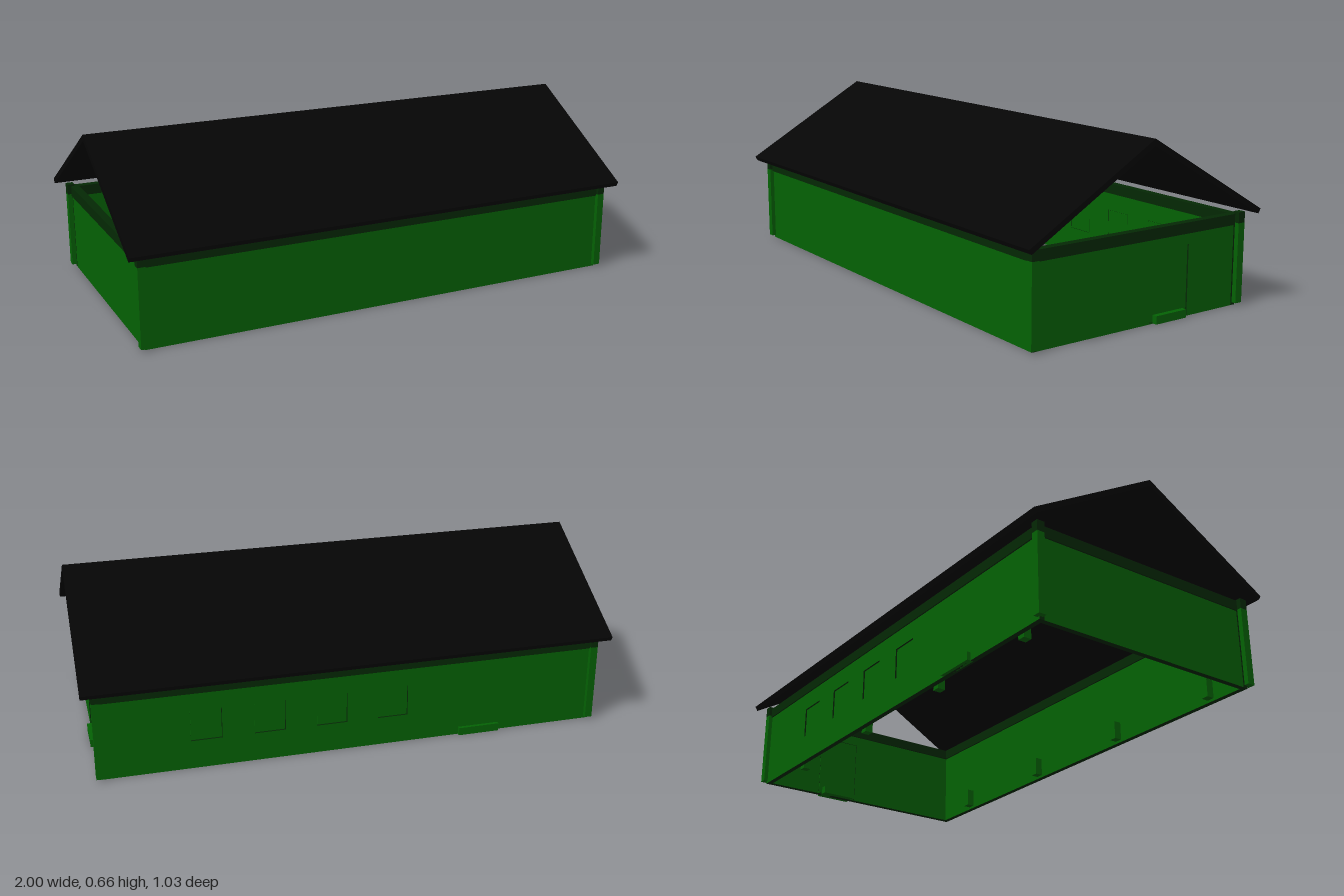
import * as THREE from 'three';

const green = new THREE.MeshStandardMaterial({ color: 0x046204 });
green.name = 'wall green';
const darkGreen = new THREE.MeshStandardMaterial({ color: 0x042804 });
darkGreen.name = 'trim dark green';
const black = new THREE.MeshStandardMaterial({ color: 0x050505 });
black.name = 'roof black';

const T = 0.02; // wall thickness
const X = 0.945, Z = 0.462; // outer faces of the walls
const TOP = 0.305, TRIM = 0.34;

function box(parent, name, mat, x0, x1, y0, y1, z0, z1) {
  const mesh = new THREE.Mesh(new THREE.BoxGeometry(x1 - x0, y1 - y0, z1 - z0), mat);
  mesh.position.set((x0 + x1) / 2, (y0 + y1) / 2, (z0 + z1) / 2);
  mesh.name = name;
  parent.add(mesh);
  return mesh;
}

// A wall facing +z with its outer face at z = 0; openings are [left, right, bottom, top]
function wall(name, halfLength, openings = []) {
  const group = new THREE.Group();
  group.name = name;
  const shape = new THREE.Shape();
  shape.moveTo(-halfLength, 0);
  shape.lineTo(halfLength, 0);
  shape.lineTo(halfLength, TOP);
  shape.lineTo(-halfLength, TOP);
  shape.closePath();
  for (const [l, r, b, t] of openings) {
    const hole = new THREE.Path();
    hole.moveTo(l, b);
    hole.lineTo(l, t);
    hole.lineTo(r, t);
    hole.lineTo(r, b);
    hole.closePath();
    shape.holes.push(hole);
    // recessed panel with a fine shadow gap
    const g = 0.0015;
    box(group, 'recessedPanel', green, l + g, r - g, b + g, t - g, -T, -0.005);
    box(group, 'panelBacking', darkGreen, l, r, b, t, -T + 0.002, -0.01);
  }
  const geo = new THREE.ExtrudeGeometry(shape, { depth: T, bevelEnabled: false });
  geo.translate(0, 0, -T);
  const panel = new THREE.Mesh(geo, [green, darkGreen]);
  panel.name = 'wallPanel';
  group.add(panel);
  // dark beam along the top
  box(group, 'topBeam', darkGreen, -halfLength, halfLength, 0.3, TRIM, -T - 0.006, 0.005);
  return group;
}

export function createModel() {
  const model = new THREE.Group();
  model.name = 'barn';

  // Long walls, four windows in the back one
  const front = wall('frontWall', X);
  front.position.z = Z;
  const windows = [];
  for (let i = 0; i < 4; i++) {
    const c = -0.56 + i * 0.235;
    windows.push([c - 0.058, c + 0.058, 0.11, 0.23]);
  }
  const back = wall('backWall', X, windows);
  back.rotation.y = Math.PI;
  back.position.z = -Z;

  // End walls, a door in the left one
  const left = wall('leftWall', Z - T, [[0.045, 0.222, 0.003, 0.26]]);
  left.rotation.y = Math.PI / 2;
  left.position.x = X;
  const right = wall('rightWall', Z - T);
  right.rotation.y = -Math.PI / 2;
  right.position.x = -X;
  model.add(front, back, left, right);

  // Low steps at the doorways
  box(model, 'doorStep', green, 0.9, 0.96, 0, 0.03, -0.205, -0.065);
  box(model, 'backStep', green, -0.57, -0.41, 0, 0.03, -0.475, -0.45);

  // Corner posts with dark caps
  for (const sx of [-1, 1]) {
    for (const sz of [-1, 1]) {
      const post = new THREE.Group();
      post.name = 'cornerPost';
      post.position.set(sx * 0.949, 0, sz * 0.463);
      box(post, 'postShaft', green, -0.014, 0.014, 0.01, 0.307, -0.015, 0.015);
      box(post, 'postCap', darkGreen, -0.014, 0.014, 0.307, 0.347, -0.015, 0.015);
      model.add(post);
    }
  }

  // Short pegs standing inside along both long walls
  for (const z of [-0.41, 0.41]) {
    for (let i = 0; i < 4; i++) {
      const x = 0.69 - i * 0.497;
      box(model, 'floorPeg', green, x - 0.015, x + 0.015, 0, 0.07, z - 0.015, z + 0.015);
    }
  }

  // Gabled roof: one folded slab running the whole length
  const profile = new THREE.Shape();
  [[0, 0.66], [-0.517, 0.36], [-0.507, 0.343], [0, 0.637], [0.507, 0.343], [0.517, 0.36]]
    .forEach(([z, y], i) => (i ? profile.lineTo(z, y) : profile.moveTo(z, y)));
  profile.closePath();
  const roofGeo = new THREE.ExtrudeGeometry(profile, { depth: 2, bevelEnabled: false });
  roofGeo.translate(0, 0, -1);
  roofGeo.rotateY(Math.PI / 2);
  const roof = new THREE.Mesh(roofGeo, black);
  roof.name = 'roof';
  model.add(roof);

  return model;
}
